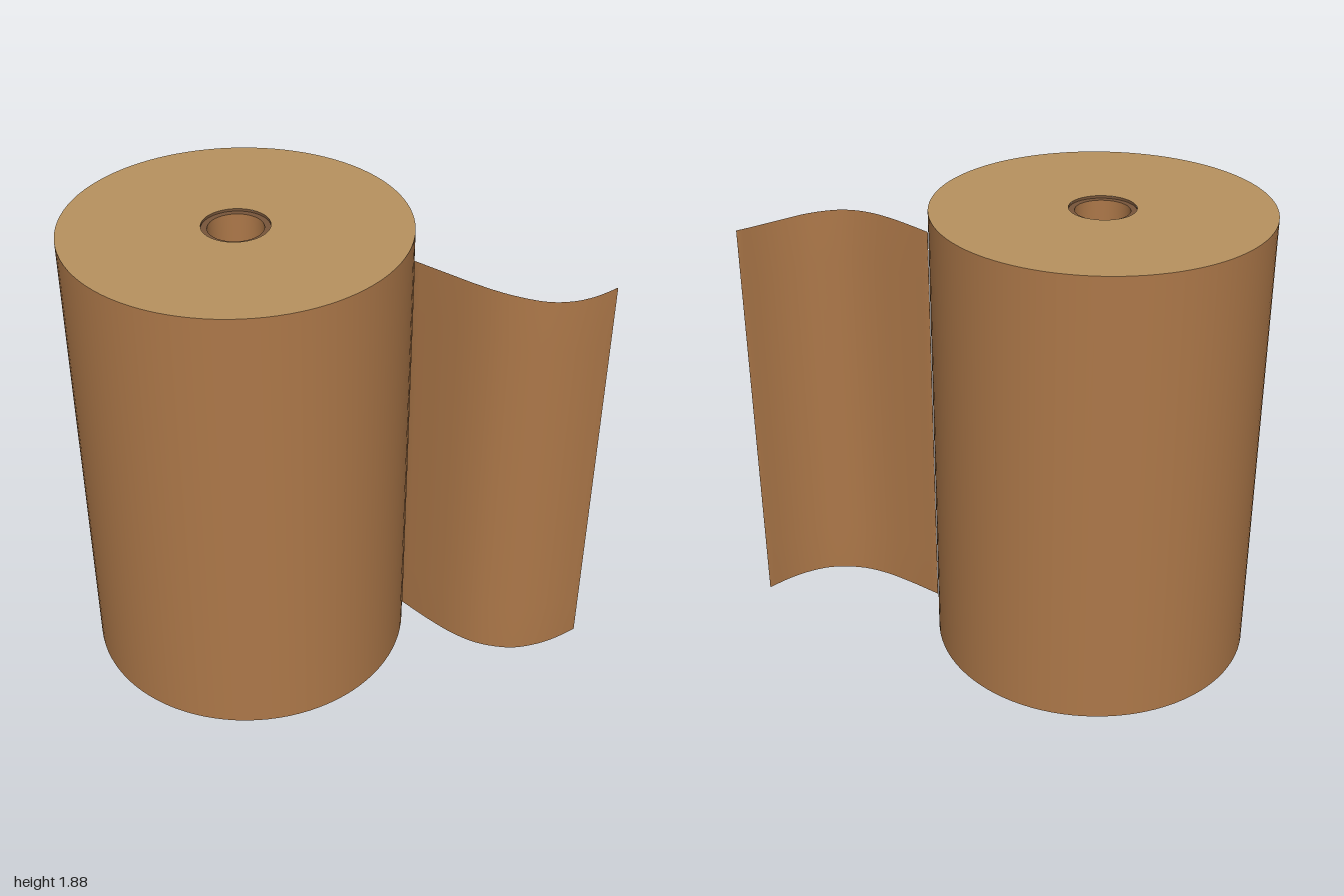
import * as THREE from 'three';
import { mergeVertices } from 'three/addons/utils/BufferGeometryUtils.js';

const R = 0.65, HEIGHT = 1.88, CORE_R = 0.128, HOLE_R = 0.105, RECESS = 0.01;

export function createModel() {
  const paper = new THREE.MeshStandardMaterial({ color: 0xad7849 });
  paper.name = 'brown paper';
  const edge = new THREE.MeshStandardMaterial({ color: 0xb8925f });
  edge.name = 'tan paper edge';
  const core = new THREE.MeshStandardMaterial({ color: 0x78563a });
  core.name = 'dark core';

  const model = new THREE.Group();
  model.name = 'paperRoll';
  const roll = new THREE.Group();
  roll.name = 'roll';
  roll.position.set(-0.35, HEIGHT / 2, 0);
  model.add(roll);

  const add = (parent, name, geometry, material) => {
    const mesh = new THREE.Mesh(geometry, material);
    mesh.name = name;
    parent.add(mesh);
    return mesh;
  };

  // Outer wrap
  add(roll, 'outerWrap', new THREE.CylinderGeometry(R, R, HEIGHT, 96, 1, true), paper);

  // Inner wall of the core; the profile runs downward so it faces the axis
  const h = HEIGHT / 2 - RECESS;
  const bore = [new THREE.Vector2(HOLE_R, h), new THREE.Vector2(HOLE_R, -h)];
  add(roll, 'coreBore', new THREE.LatheGeometry(bore, 64), paper);

  // Wound end faces, core rims and the small step between them
  for (const s of [1, -1]) {
    const side = s > 0 ? 'top' : 'bottom';
    const end = add(roll, side + 'End', new THREE.RingGeometry(CORE_R, R, 96), edge);
    end.position.y = s * HEIGHT / 2;
    end.rotation.x = -s * Math.PI / 2;
    const rim = add(roll, side + 'CoreRim', new THREE.RingGeometry(HOLE_R, CORE_R, 64), core);
    rim.position.y = s * h;
    rim.rotation.x = -s * Math.PI / 2;
    const y = s * (HEIGHT / 2 - RECESS / 2);
    const step = [new THREE.Vector2(CORE_R, y + RECESS / 2), new THREE.Vector2(CORE_R, y - RECESS / 2)];
    add(roll, side + 'CoreStep', new THREE.LatheGeometry(step, 64), core);
  }

  // Loose sheet: a thin slab bent along a curve, softly shaded over its edges
  const path = new THREE.SplineCurve([
    [0.295, 0.105], [0.4, 0.215], [0.5, 0.305], [0.6, 0.363],
    [0.72, 0.388], [0.82, 0.372], [0.91, 0.335], [1, 0.28],
  ].map(([x, z]) => new THREE.Vector2(x, z)));
  const slab = new THREE.BoxGeometry(1, 1, 0.003, 28, 8, 1);
  const pos = slab.attributes.position;
  for (let i = 0; i < pos.count; i++) {
    const t = THREE.MathUtils.clamp(pos.getX(i) + 0.5, 0, 1);
    const v = pos.getY(i) + 0.5;
    const p = path.getPointAt(t), d = path.getTangentAt(t);
    const off = pos.getZ(i);
    const top = 1.787 + 0.018 * Math.sin((p.x - 0.3) * 7.8);
    pos.setXYZ(i, Math.min(1, p.x - d.y * off), 0.14 + v * (top - 0.14), p.y + d.x * off);
  }
  slab.deleteAttribute('normal');
  slab.deleteAttribute('uv');
  const sheet = mergeVertices(slab, 1e-5);
  sheet.computeVertexNormals();
  add(model, 'looseSheet', sheet, paper);

  return model;
}
